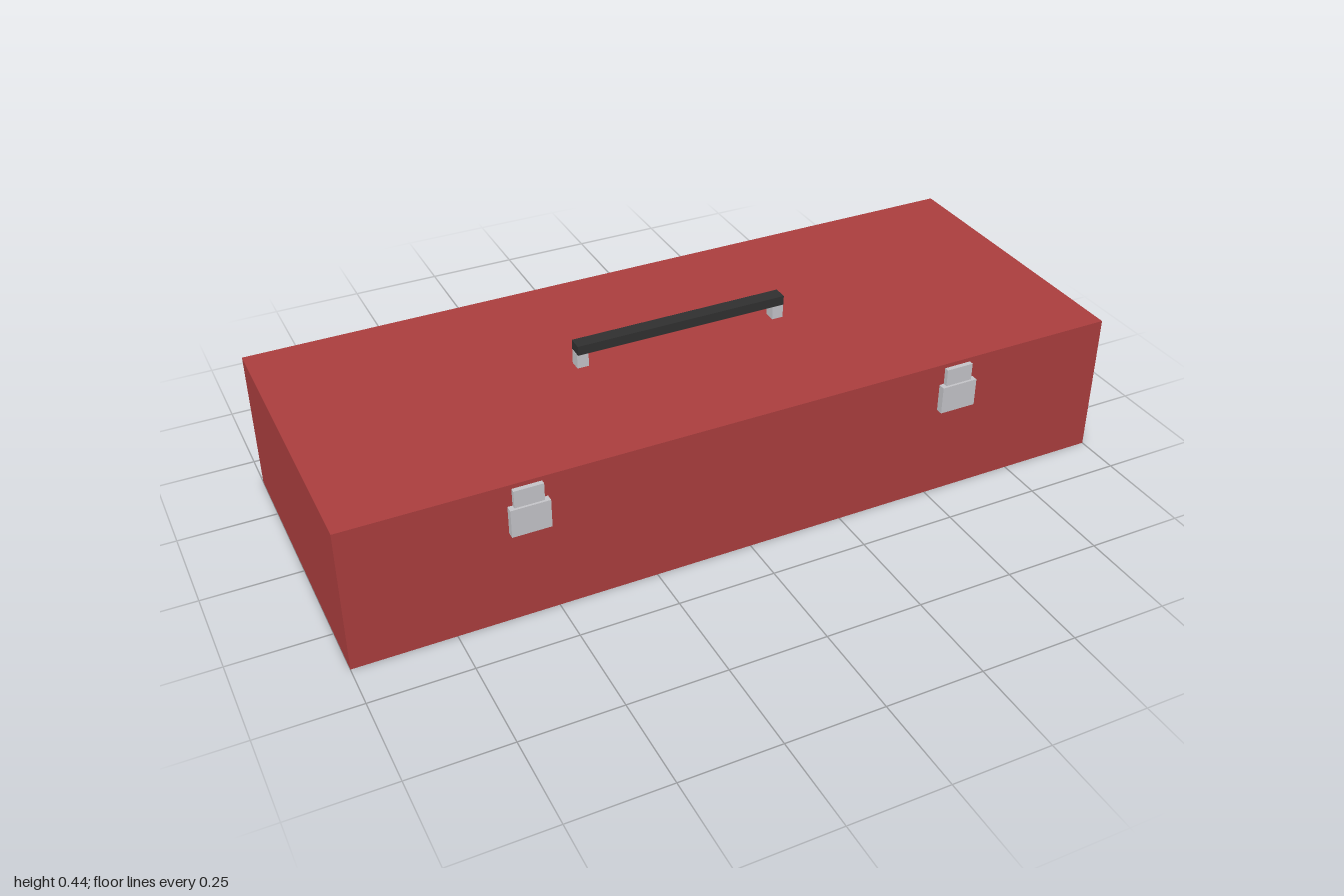
import * as THREE from 'three';

const material = (name, color) => {
  const m = new THREE.MeshStandardMaterial({ color });
  m.name = name;
  return m;
};

export function createModel() {
  const red = material('red paint', 0xaa3e3e);
  const metal = material('light metal', 0xc4c4c8);
  const black = material('black grip', 0x303030);

  // Box given by its extents along each axis
  const box = (name, mat, [x0, x1], [y0, y1], [z0, z1]) => {
    const mesh = new THREE.Mesh(new THREE.BoxGeometry(x1 - x0, y1 - y0, z1 - z0), mat);
    mesh.position.set((x0 + x1) / 2, (y0 + y1) / 2, (z0 + z1) / 2);
    mesh.name = name;
    return mesh;
  };

  const model = new THREE.Group();
  model.name = 'toolCase';

  // Case body
  model.add(box('caseBody', red, [-1, 1], [0, 0.375], [-0.4, 0.382]));

  // Carrying handle: grip bar on two posts
  const handle = new THREE.Group();
  handle.name = 'handle';
  handle.add(box('grip', black, [-0.282, 0.282], [0.413, 0.438], [-0.026, 0.011]));
  for (const [side, s] of [['left', 1], ['right', -1]]) {
    const x = 0.268 * s;
    handle.add(box(side + 'Post', metal, [x - 0.015, x + 0.015], [0.375, 0.413], [-0.023, 0.007]));
  }
  model.add(handle);

  // Front latches: wide lever with a narrower, thinner catch above
  for (const [side, s] of [['left', 1], ['right', -1]]) {
    const x = 0.563 * s;
    const latch = new THREE.Group();
    latch.name = side + 'Latch';
    latch.add(
      box('lever', metal, [x - 0.048, x + 0.048], [0.246, 0.319], [0.382, 0.4]),
      box('catch', metal, [x - 0.036, x + 0.036], [0.319, 0.364], [0.382, 0.394])
    );
    model.add(latch);
  }
  return model;
}
